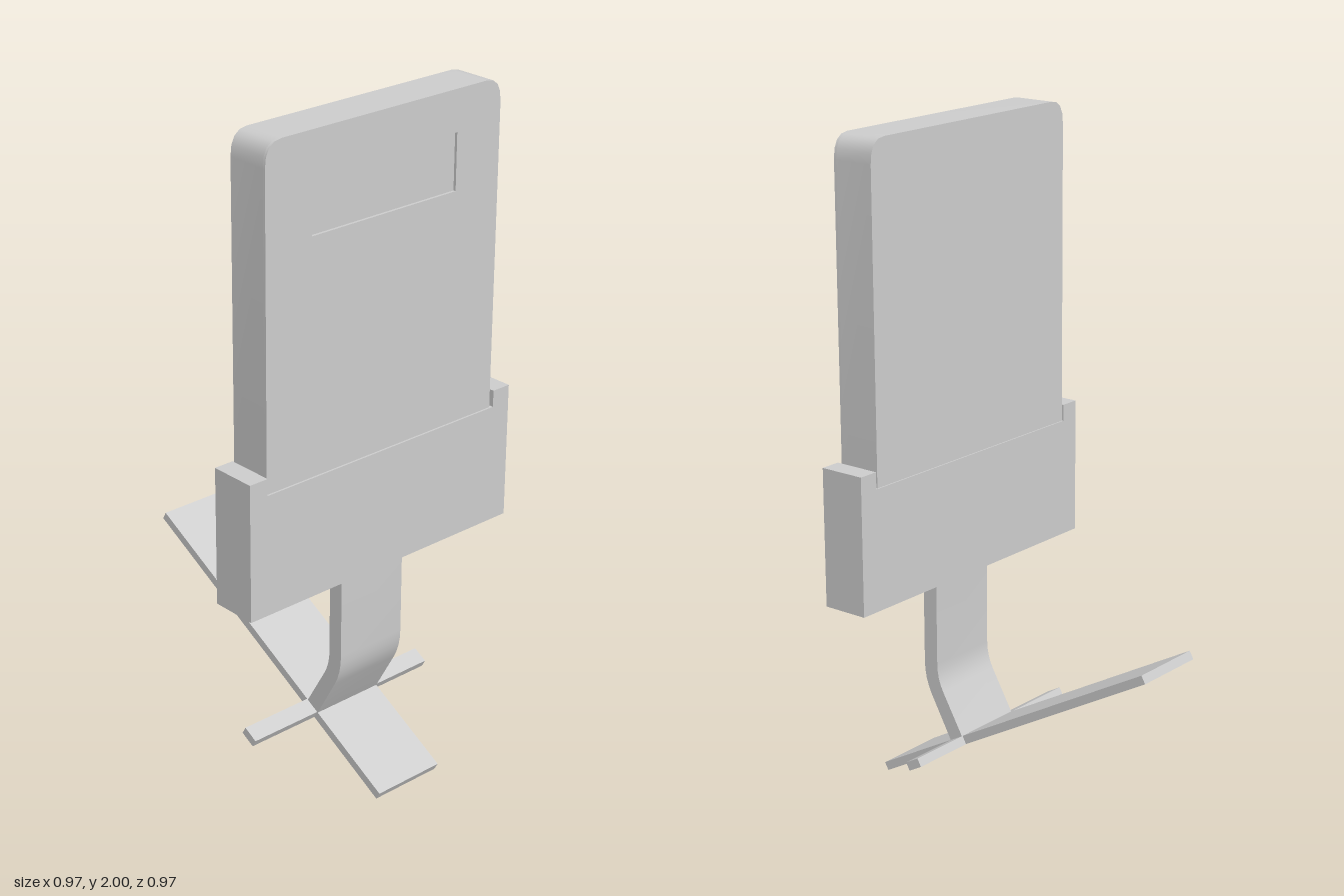
import * as THREE from 'three';
import { toCreasedNormals } from 'three/addons/utils/BufferGeometryUtils.js';

export function createModel() {
  const model = new THREE.Group();
  const material = new THREE.MeshStandardMaterial({ color: 0xcccccc });

  function add(name, geometry, parent = model) {
    const mesh = new THREE.Mesh(geometry, material);
    mesh.name = name;
    parent.add(mesh);
    return mesh;
  }

  // Extrudes a front-facing outline between two depths
  function slab(shape, zBack, zFront) {
    const geo = new THREE.ExtrudeGeometry(shape, {
      depth: zFront - zBack, bevelEnabled: false, curveSegments: 4,
    });
    geo.translate(0, 0, zBack);
    return toCreasedNormals(geo, 0.6);
  }

  // Panel outline with rounded top corners
  function panelOutline() {
    const l = -0.422, r = 0.411, b = 1.03, t = 2, c = 0.055;
    const s = new THREE.Shape();
    s.moveTo(l, b);
    s.lineTo(r, b);
    s.lineTo(r, t - c - 0.015);
    s.quadraticCurveTo(r, t, r - c, t);
    s.lineTo(l + c, t);
    s.quadraticCurveTo(l, t, l, t - c - 0.015);
    s.closePath();
    return s;
  }

  // Panel: solid back and a thin front layer with a shallow rectangular recess
  const panel = new THREE.Group();
  panel.name = 'panel';
  model.add(panel);
  add('panelBody', slab(panelOutline(), 0.223, 0.347), panel);
  const face = panelOutline();
  face.holes.push(new THREE.Path([
    [-0.265, 1.715], [-0.265, 1.88], [0.25, 1.88], [0.25, 1.715],
  ].map(([x, y]) => new THREE.Vector2(x, y))));
  add('panelFace', slab(face, 0.347, 0.355), panel);

  // Holder: block with a shallow notch that seats the panel
  const holder = new THREE.Shape([
    [-0.485, 0.67], [0.482, 0.67], [0.482, 1.08], [0.42, 1.08],
    [0.42, 1.03], [-0.424, 1.03], [-0.424, 1.08], [-0.485, 1.08],
  ].map(([x, y]) => new THREE.Vector2(x, y)));
  add('holder', slab(holder, 0.219, 0.361));

  // Neck: side profile (z, y), bent back to meet the base squarely
  const width = 0.232;
  const side = new THREE.Shape();
  side.moveTo(0.316, 0.68);
  side.lineTo(0.268, 0.68);
  side.lineTo(0.268, 0.4);
  side.quadraticCurveTo(0.268, 0.355, 0.247, 0.318);
  side.lineTo(0.170, 0.184);
  side.lineTo(0.213, 0.160);
  side.lineTo(0.291, 0.3);
  side.quadraticCurveTo(0.316, 0.345, 0.316, 0.4);
  side.closePath();
  const neck = slab(side, -width / 2, width / 2);
  neck.rotateY(-Math.PI / 2);
  add('neck', neck);

  // Sloping cross-shaped base
  const base = new THREE.Group();
  base.name = 'base';
  base.position.set(0, 0.278, 0);
  base.rotation.x = 0.508;
  model.add(base);
  add('baseStrip', new THREE.BoxGeometry(width, 0.026, 1.09), base);
  add('crossBar', new THREE.BoxGeometry(0.67, 0.026, 0.05), base).position.set(-0.016, 0, 0.216);

  return model;
}
